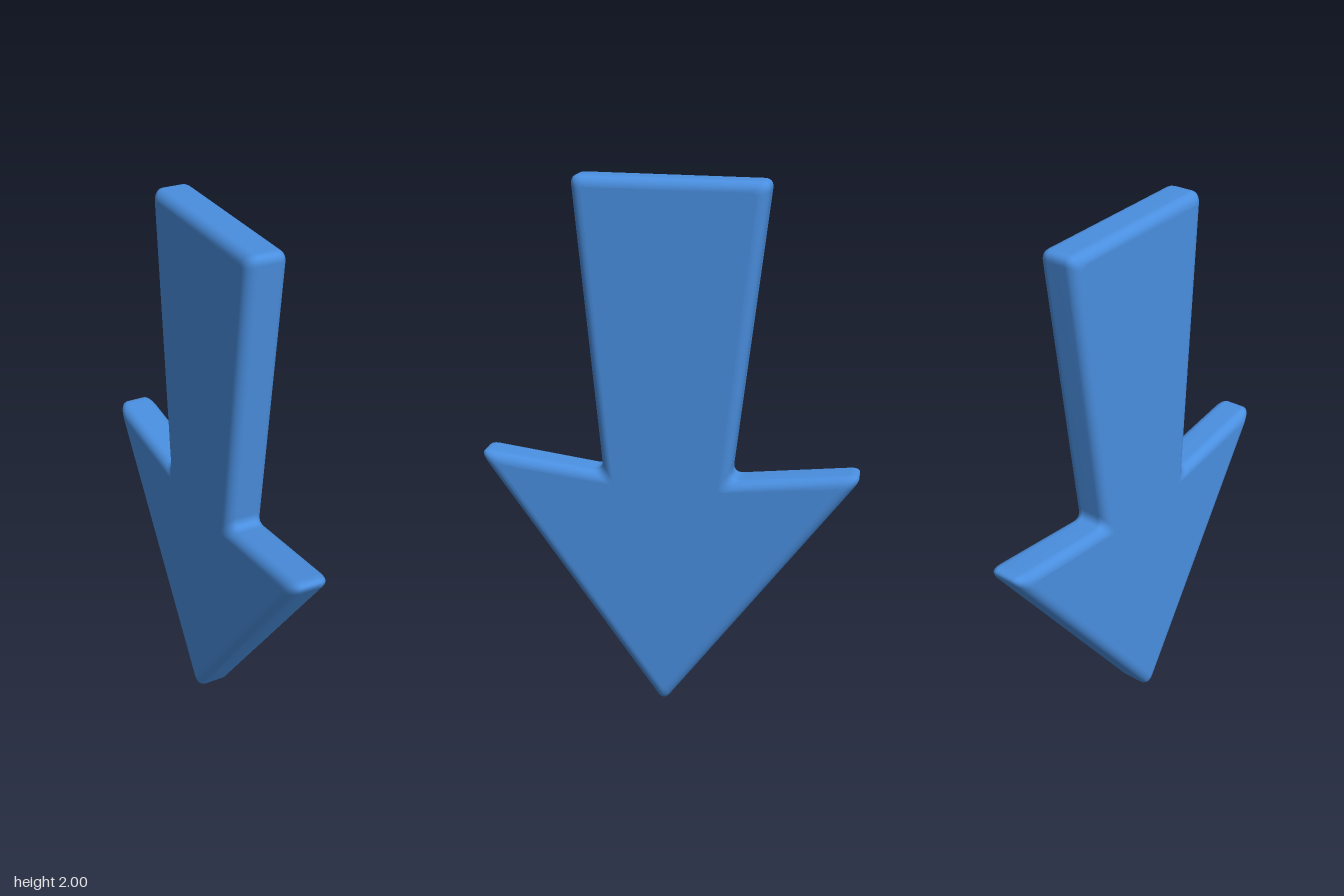
import * as THREE from 'three';

// Sharp outline corners, counter-clockwise: across, up, trim length of the rounding
const CORNERS = [
  [0.015, -0.013, 0.037], // tip
  [0.72, 0.988, 0.06], // front barb
  [0.238, 0.922, 0.045], // inner corner
  [0.336, 2.003, 0.035], // shaft end
  [-0.363, 1.992, 0.035],
  [-0.233, 0.914, 0.045], // inner corner
  [-0.72, 0.966, 0.06], // back barb
];
const HALF = 0.075, BEVEL = 0.038, ARC = 6, STEPS = 6;

// Outline moved inward by a distance, with rounded corners
function outline(inset) {
  const pts = CORNERS.map(([x, y]) => new THREE.Vector2(x, y));
  const n = pts.length;
  const normal = (a, b) => new THREE.Vector2(a.y - b.y, b.x - a.x).normalize();
  const moved = pts.map((p, i) => {
    const n1 = normal(pts[(i + n - 1) % n], p), n2 = normal(p, pts[(i + 1) % n]);
    return p.clone().addScaledVector(n1.clone().add(n2), inset / (1 + n1.dot(n2)));
  });
  return moved.flatMap((p, i) => {
    const trim = CORNERS[i][2] * (1 - 0.5 * inset / BEVEL);
    const toward = (q) => q.clone().sub(p).setLength(trim).add(p);
    const a = toward(moved[(i + n - 1) % n]), b = toward(moved[(i + 1) % n]);
    return new THREE.QuadraticBezierCurve(a, p, b).getPoints(ARC);
  });
}

// Thick plate with rounded rims, built from stacked outlines
function arrowGeometry() {
  const rings = [];
  for (let s = 0; s <= STEPS; s++) {
    const t = (s / STEPS) * Math.PI / 2;
    rings.push([BEVEL * (1 - Math.sin(t)), -HALF + BEVEL * (1 - Math.cos(t))]);
  }
  rings.push(...rings.map(([d, z]) => [d, -z]).reverse());

  const position = [], index = [];
  const loops = rings.map(([d]) => outline(d));
  const n = loops[0].length;
  loops.forEach((loop, k) => loop.forEach((p) => position.push(p.x, p.y, rings[k][1])));
  for (let k = 0; k < rings.length - 1; k++) {
    for (let i = 0; i < n; i++) {
      const j = (i + 1) % n, a = k * n, b = a + n;
      index.push(a + i, a + j, b + j, a + i, b + j, b + i);
    }
  }
  // Flat faces on both sides
  const last = (rings.length - 1) * n;
  for (const [a, b, c] of THREE.ShapeUtils.triangulateShape(loops[0], [])) {
    index.push(c, b, a, last + a, last + b, last + c);
  }
  const geometry = new THREE.BufferGeometry();
  geometry.setAttribute('position', new THREE.Float32BufferAttribute(position, 3));
  geometry.setIndex(index);
  geometry.computeVertexNormals();
  return geometry;
}

export function createModel() {
  const blue = new THREE.MeshStandardMaterial({ color: 0x4a8fe0 });
  blue.name = 'blue';

  const geometry = arrowGeometry();
  geometry.rotateY(-Math.PI / 2);
  geometry.rotateZ(-0.0175); // slight lean
  geometry.translate(-0.02, 0, 0);

  const arrow = new THREE.Mesh(geometry, blue);
  arrow.name = 'arrow';
  const model = new THREE.Group();
  model.name = 'downArrow';
  model.add(arrow);
  return model;
}
